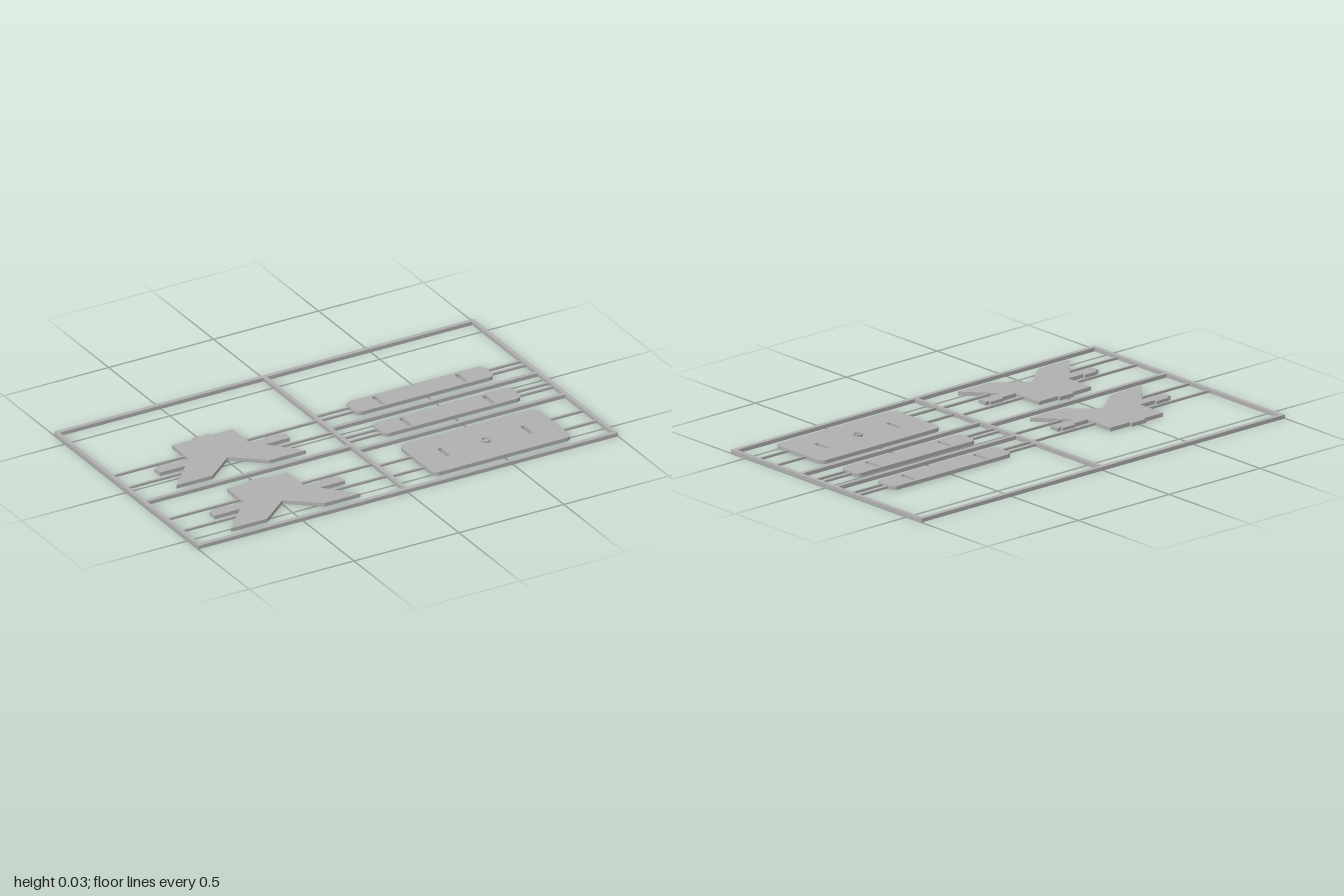
import * as THREE from 'three';

const T = 0.0165; // thickness of frame and parts

export function createModel() {
  const model = new THREE.Group();
  const grey = new THREE.MeshStandardMaterial({ color: 0xb0b0b0 });
  grey.name = 'plasticGrey';

  function add(name, geometry) {
    const mesh = new THREE.Mesh(geometry, grey);
    mesh.name = name;
    model.add(mesh);
    return mesh;
  }

  // flat box given by its x and z limits
  function bar(name, x0, x1, z0, z1, y0 = 0, y1 = T) {
    const g = new THREE.BoxGeometry(x1 - x0, y1 - y0, z1 - z0);
    add(name, g.translate((x0 + x1) / 2, (y0 + y1) / 2, (z0 + z1) / 2));
  }

  // outline drawn in (x, z), extruded upward from y0
  function slab(name, shape, y0 = 0, height = T) {
    const g = new THREE.ExtrudeGeometry(shape, { depth: height, bevelEnabled: false, curveSegments: 8 });
    return add(name, g.rotateX(Math.PI / 2).translate(0, y0 + height, 0));
  }

  function rect(path, x0, x1, z0, z1) {
    path.moveTo(x0, z0).lineTo(x0, z1).lineTo(x1, z1).lineTo(x1, z0).closePath();
    return path;
  }

  // outer frame
  bar('frameBack', -1, 1, -0.592, -0.572);
  bar('frameFront', -1, 1, 0.568, 0.588);
  bar('frameRight', -1, -0.982, -0.572, 0.568);
  bar('frameLeft', 0.982, 1, -0.572, 0.568);

  // dividers
  bar('centreDivider', -0.012, 0.006, -0.572, 0.568);
  bar('rightDivider', -0.982, -0.012, 0.122, 0.141);
  bar('leftDividerBack', 0.006, 0.982, -0.058, -0.039);
  bar('leftDividerFront', 0.006, 0.982, 0.164, 0.183);

  // thin runners on both sides of a part
  function runners(z, partX0, partX1, x0, x1) {
    bar('runner', x0, partX0, z - 0.005, z + 0.005, 0.003, 0.013);
    bar('runner', partX1, x1, z - 0.005, z + 0.005, 0.003, 0.013);
  }

  // rounded plates with two slots
  function plate(name, z0, z1, runnerZs) {
    const x0 = 0.163, x1 = 0.82, r = 0.028, mid = (z0 + z1) / 2;
    const s = new THREE.Shape();
    s.moveTo(x0 + r, z0).lineTo(x1 - r, z0);
    s.absarc(x1 - r, z0 + r, r, -Math.PI / 2, 0);
    s.absarc(x1 - r, z1 - r, r, 0, Math.PI / 2);
    s.absarc(x0 + r, z1 - r, r, Math.PI / 2, Math.PI);
    s.absarc(x0 + r, z0 + r, r, Math.PI, Math.PI * 1.5);
    for (const x of [0.293, 0.689]) {
      s.holes.push(rect(new THREE.Path(), x - 0.01, x + 0.01, mid - 0.038, mid + 0.038));
    }
    slab(name, s);
    for (const z of runnerZs) runners(z, x0, x1, 0.006, 0.982);
  }
  plate('narrowPlateBack', -0.214, -0.107, [-0.177, -0.139]);
  plate('narrowPlateFront', 0.008, 0.115, [0.048, 0.086]);
  plate('widePlate', 0.228, 0.52, [0.332, 0.439]);

  // raised ring on the wide plate
  const ring = new THREE.Shape().absarc(0, 0, 0.021, 0, Math.PI * 2);
  ring.holes.push(new THREE.Path().absarc(0, 0, 0.015, 0, Math.PI * 2, true));
  slab('ring', ring, T, 0.009).position.set(0.492, 0, 0.375);

  // mirrored figure plates: half outline from the back tab to the front notch
  const half = [
    [0.039, -0.254], [0.039, -0.241], [0.144, -0.241], [0.144, -0.099],
    [0.224, -0.099], [0.224, -0.112], [0.291, -0.112], [0.291, -0.099],
    [0.31, -0.099], [0.31, -0.056], [0.19, -0.056], [0.308, 0.075], [0.136, 0.075],
  ];
  const outline = [...half, [0, -0.035], ...half.map(([x, z]) => [-x, z]).reverse()];
  const figure = new THREE.Shape(outline.map(([x, z]) => new THREE.Vector2(x, z)));
  const cx = -0.497;
  for (const dz of [0, 0.446]) {
    slab('figurePlate', figure).position.set(cx, 0, dz);
    runners(-0.14 + dz, cx - 0.143, cx + 0.143, -0.982, -0.012);
    runners(-0.019 + dz, cx - 0.22, cx + 0.22, -0.982, -0.012);
  }

  return model;
}
